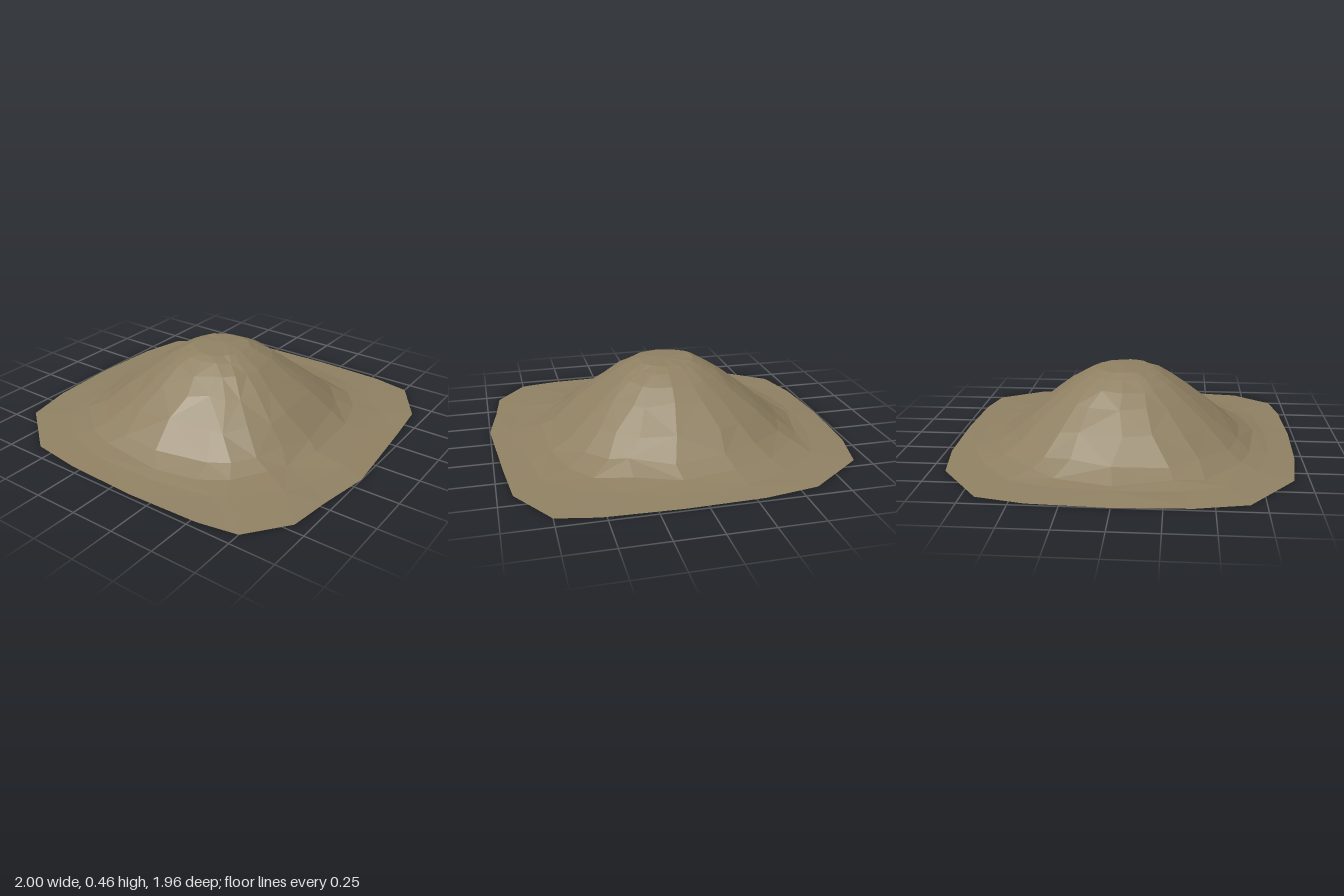
import * as THREE from 'three';

// Ground outline (x, z), anticlockwise from above starting at the left edge
const RIM = [
  [-1, 0], [-0.98, 0.4], [-0.92, 0.67], [-0.6, 0.92], [-0.3, 0.96], [0.12, 0.975], [0.53, 0.96],
  [0.75, 0.92], [0.92, 0.7], [0.95, 0.46], [1, 0.17], [0.95, -0.38], [0.92, -0.65], [0.75, -0.92],
  [0.53, -0.965], [0.12, -0.98], [-0.3, -0.97], [-0.6, -0.92], [-0.92, -0.68], [-0.98, -0.42],
];

// Slope profile: distance from the summit, height
const PROFILE = [
  [0, 0.455], [0.16, 0.445], [0.22, 0.42], [0.3, 0.375], [0.4, 0.3], [0.54, 0.19],
  [0.66, 0.085], [0.75, 0.032], [0.86, 0.012], [1, 0],
];

function heightAt(r) {
  for (let i = 1; i < PROFILE.length; i++) {
    const [r0, y0] = PROFILE[i - 1], [r1, y1] = PROFILE[i];
    if (r <= r1) return y0 + ((y1 - y0) * (r - r0)) / (r1 - r0);
  }
  return 0;
}

function seeded(seed) {
  return () => {
    seed = (seed * 16807) % 2147483647;
    return seed / 2147483647 - 0.5;
  };
}

function moundGeometry() {
  const random = seeded(41);
  const n = RIM.length;
  const positions = [-0.01, 0.455, -0.02];
  const index = [];
  const rings = PROFILE.slice(1, -1);

  // Rings turn from round near the summit to squarish near the rim
  for (const [radius] of rings) {
    const square = 0.45 * radius ** 1.5;
    const shift = radius > 0.8 ? 0 : -0.025;
    for (const [x, z] of RIM) {
      const reach = Math.hypot(x, z);
      const r = radius * (1 + 0.06 * random());
      const s = r * (1 + square * (reach / 0.98 - 1));
      const a = Math.atan2(z, x) + 0.1 * random();
      positions.push(shift + s * Math.cos(a), heightAt(r) + 0.008 * random(), s * Math.sin(a));
    }
  }
  for (const [x, z] of RIM) positions.push(x, 0, z);

  // Summit fan, then bands with alternating diagonals
  for (let i = 0; i < n; i++) index.push(0, 1 + i, 1 + ((i + 1) % n));
  for (let k = 0; k < rings.length; k++) {
    for (let i = 0; i < n; i++) {
      const j = (i + 1) % n;
      const a = 1 + k * n + i, b = 1 + k * n + j, c = a + n, d = b + n;
      if ((i + k) % 2) index.push(a, c, d, a, d, b);
      else index.push(a, c, b, b, c, d);
    }
  }

  const geometry = new THREE.BufferGeometry();
  geometry.setAttribute('position', new THREE.Float32BufferAttribute(positions, 3));
  geometry.setIndex(index);
  geometry.computeVertexNormals();
  return geometry;
}

export function createModel() {
  const group = new THREE.Group();
  group.name = 'dirtMound';
  // Open shell of earth, visible from below as well
  const earth = new THREE.MeshStandardMaterial({
    color: 0x8f8062, flatShading: true, side: THREE.DoubleSide,
  });
  const mound = new THREE.Mesh(moundGeometry(), earth);
  mound.name = 'mound';
  group.add(mound);
  return group;
}
